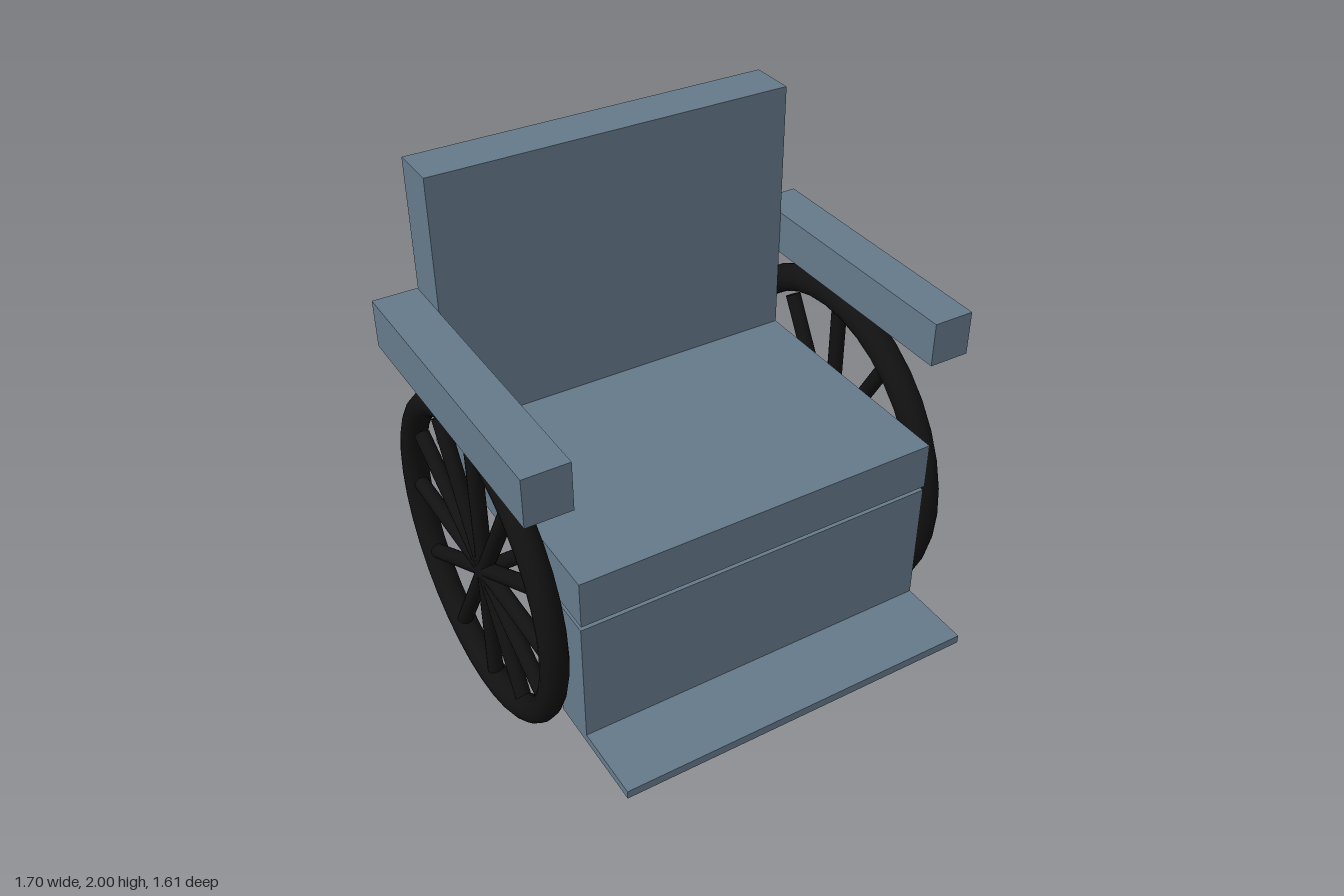
import * as THREE from 'three';

export function createModel() {
  const model = new THREE.Group();
  model.name = 'wheelchair';
  const panelMat = new THREE.MeshStandardMaterial({ color: 0x667a8b });
  const wheelMat = new THREE.MeshStandardMaterial({ color: 0x111111 });

  // Box given by its extents along each axis
  function slab(name, [x0, x1], [y0, y1], [z0, z1]) {
    const mesh = new THREE.Mesh(new THREE.BoxGeometry(x1 - x0, y1 - y0, z1 - z0), panelMat);
    mesh.position.set((x0 + x1) / 2, (y0 + y1) / 2, (z0 + z1) / 2);
    mesh.name = name;
    model.add(mesh);
  }

  // Upholstery and panels
  const width = [-0.685, 0.69];
  slab('seat', width, [0.85, 1.03], [-0.602, 0.53]);
  slab('backrest', width, [1.03, 2], [-0.597, -0.42]);
  slab('legPanel', width, [0.345, 0.83], [0.35, 0.525]);
  slab('footplate', width, [0.312, 0.345], [0.35, 0.805]);
  slab('rightArmrest', [-0.85, -0.685], [1.33, 1.51], [-0.602, 0.53]);
  slab('leftArmrest', [0.693, 0.846], [1.335, 1.5], [-0.56, 0.485]);

  // Axle and spokes share one centre line
  const axleY = 0.64, axleZ = -0.1, rodRadius = 0.029;
  const axle = new THREE.Mesh(new THREE.CylinderGeometry(rodRadius, rodRadius, 1.49, 16), wheelMat);
  axle.rotation.z = Math.PI / 2;
  axle.position.set(0, axleY, axleZ);
  axle.name = 'axle';
  model.add(axle);

  // Wheel: torus rim with six rods crossing at the axle
  function wheel(name, x, outer, tube, spokeLength) {
    const group = new THREE.Group();
    group.name = name;
    const rim = new THREE.Mesh(new THREE.TorusGeometry(outer - tube, tube, 16, 36), wheelMat);
    rim.rotation.y = Math.PI / 2;
    rim.position.set(x, 0.668, -0.137);
    rim.name = 'rim';
    group.add(rim);
    const rod = new THREE.CylinderGeometry(rodRadius, rodRadius, spokeLength, 16);
    for (let i = 0; i < 6; i++) {
      const spoke = new THREE.Mesh(rod, wheelMat);
      spoke.rotation.x = (i * Math.PI) / 6;
      spoke.position.set(x, axleY, axleZ);
      spoke.name = 'spoke';
      group.add(spoke);
    }
    model.add(group);
  }
  wheel('leftWheel', 0.748, 0.667, 0.054, 1.17);
  wheel('rightWheel', -0.743, 0.622, 0.05, 1.12);

  return model;
}
